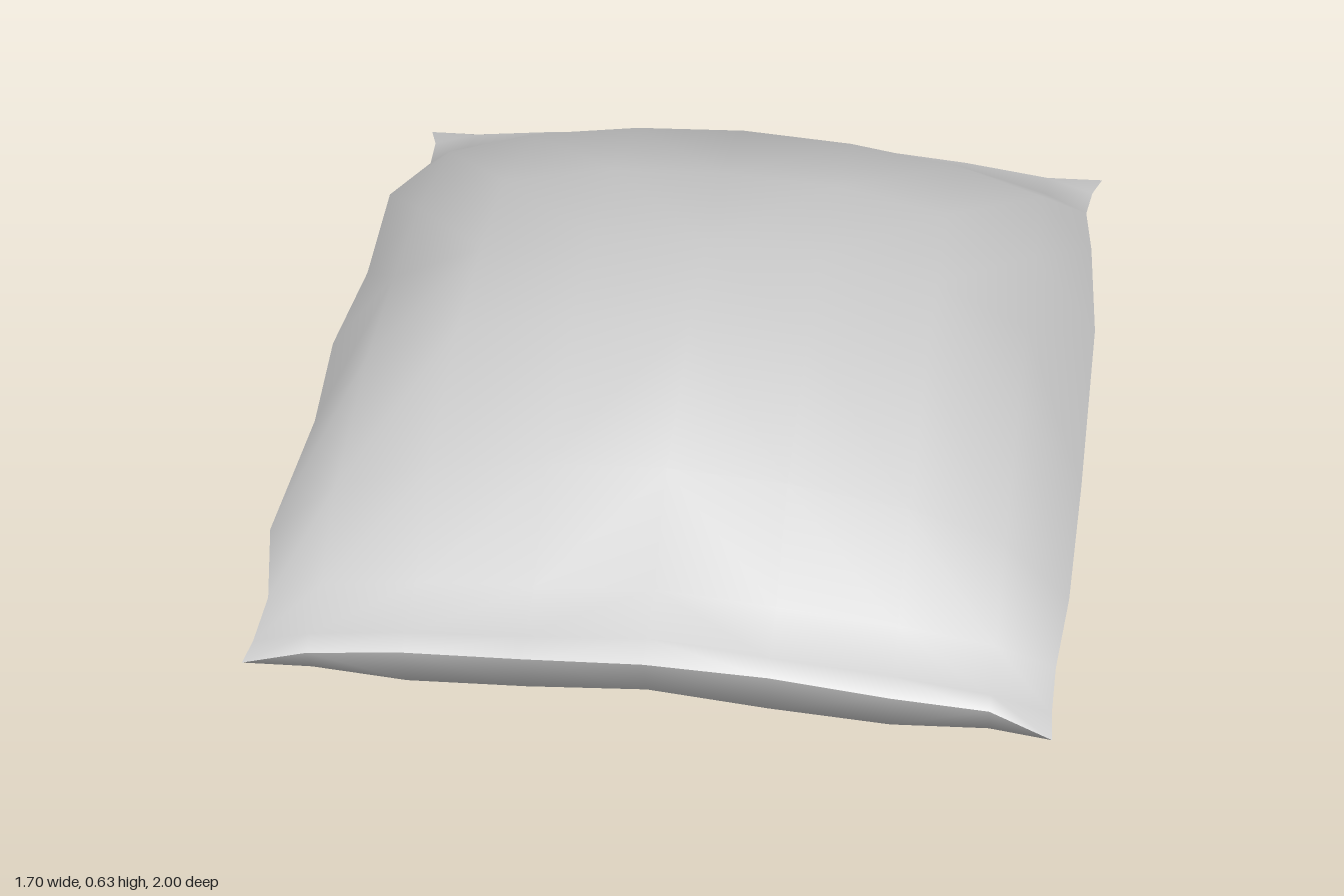
import * as THREE from 'three';

// Grid lines of the cushion and the wavy outline of its seam
const colX = [-0.83, -0.7, -0.5, -0.25, 0, 0.25, 0.5, 0.7, 0.83];
const rowZ = [-0.97, -0.93, -0.82, -0.63, -0.28, 0, 0.28, 0.63, 0.81, 0.93, 0.97];
const seamLeftX = [-0.82, -0.8, -0.79, -0.85, -0.83, -0.85, -0.83, -0.85, -0.815, -0.82, -0.83];
const seamRightX = [0.83, 0.81, 0.8, 0.82, 0.845, 0.845, 0.845, 0.84, 0.825, 0.825, 0.83];
const seamBackZ = [-0.99, -0.965, -0.945, -0.975, -0.935, -0.96, -0.97, -0.96, -1];
const seamFrontZ = [0.99, 0.965, 0.96, 0.965, 0.975, 0.955, 0.965, 0.955, 1];

// Half profiles, from the middle outward to the seam
const seamAcross = [1, 0.7, 0.5, 0.25, 0];
const seamAlong = [1, 0.97, 0.7, 0.3, 0.1, 0];
const upper = { height: 0.36, across: [1, 0.97, 0.82, 0.555, 0], along: [1, 0.97, 0.65, 0.167, 0.083, 0] };
const lower = { height: -0.268, across: [1, 1, 0.99, 0.69, 0], along: [1, 0.98, 0.76, 0.44, 0.4, 0] };

const COLS = colX.length;
const ROWS = rowZ.length;

// One bulging sheet, meeting the other along the raised seam
function makeSheet(name, bulge, facesUp) {
  const positions = [];
  const indices = [];
  for (let r = 0; r < ROWS; r++) {
    for (let c = 0; c < COLS; c++) {
      const i = Math.abs(c - 4);
      const j = Math.abs(r - 5);
      let x = colX[c];
      let z = rowZ[r];
      if (c === 0) x = seamLeftX[r];
      if (c === COLS - 1) x = seamRightX[r];
      if (r === 0) z = seamBackZ[c];
      if (r === ROWS - 1) z = seamFrontZ[c];
      const seamY = 0.19 + 0.08 * (1 - (1 - seamAcross[i]) * (1 - seamAlong[j]));
      const y = seamY + bulge.height * bulge.across[i] * bulge.along[j];
      positions.push(x, y, z);
    }
  }
  for (let r = 0; r < ROWS - 1; r++) {
    for (let c = 0; c < COLS - 1; c++) {
      const a = r * COLS + c;
      const b = a + 1;
      const d = a + COLS;
      const e = d + 1;
      // Diagonals run from the middle toward the corners
      const tris = (c < 4) === (r < 5)
        ? [[a, d, e], [a, e, b]]
        : [[a, d, b], [b, d, e]];
      for (const t of tris) indices.push(...(facesUp ? t : t.reverse()));
    }
  }
  const geometry = new THREE.BufferGeometry();
  geometry.setAttribute('position', new THREE.Float32BufferAttribute(positions, 3));
  geometry.setIndex(indices);
  geometry.computeVertexNormals();
  const mesh = new THREE.Mesh(geometry, new THREE.MeshStandardMaterial({ color: 0xcccccc }));
  mesh.name = name;
  return mesh;
}

export function createModel() {
  const cushion = new THREE.Group();
  cushion.name = 'cushion';
  cushion.add(makeSheet('upperSheet', upper, true));
  cushion.add(makeSheet('lowerSheet', lower, false));
  return cushion;
}
